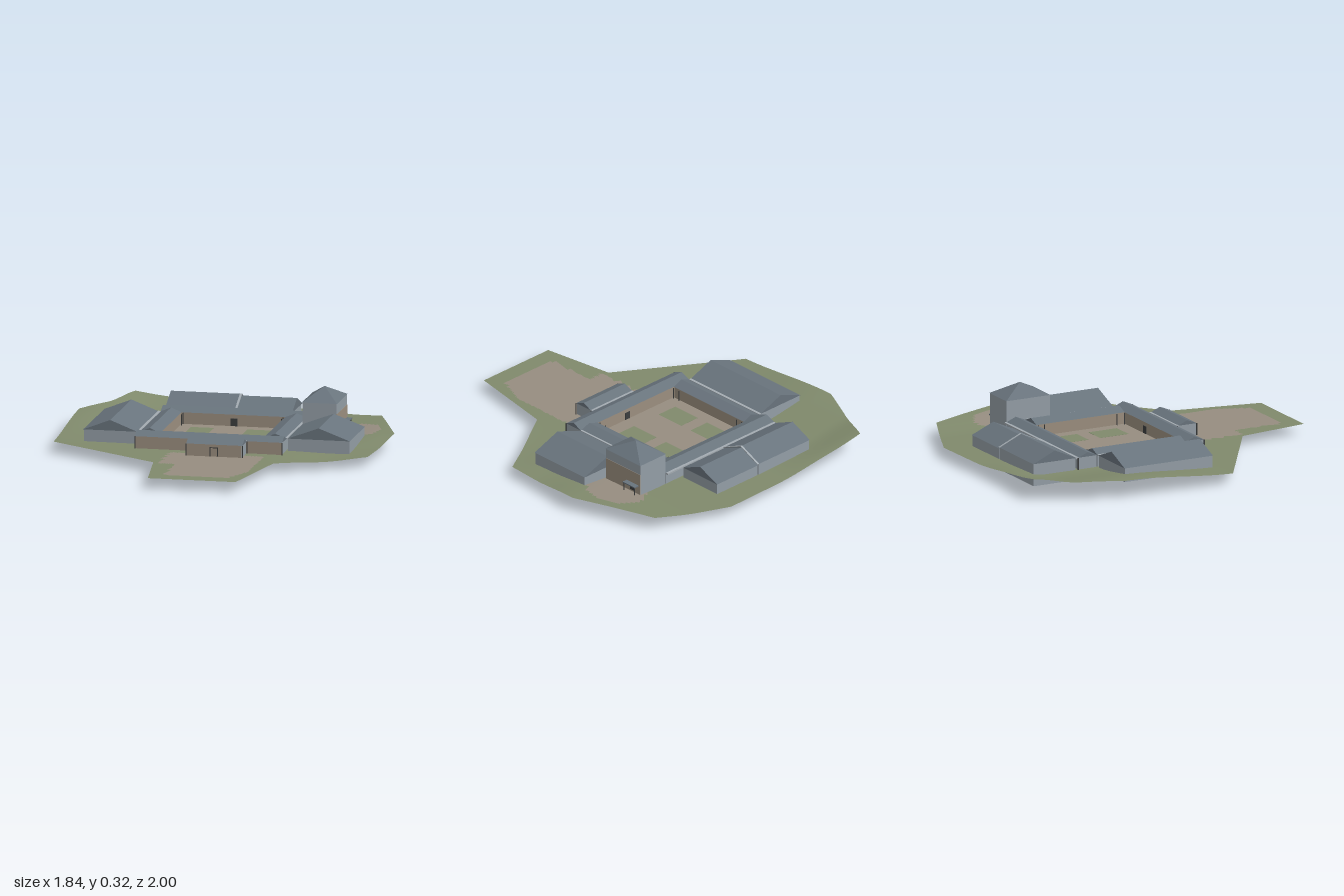
import * as THREE from 'three';

const mat = (name, color, double) => {
  const m = new THREE.MeshStandardMaterial({ color });
  m.name = name;
  if (double) m.side = THREE.DoubleSide;
  return m;
};
const slate = mat('roof slate', 0x69747d);
const wall = mat('grey wall', 0x949ea6);
const clay = mat('beige wall', 0x9c8f7f);
const grass = mat('grass', 0x808a6c, true);
const earth = mat('earth path', 0x968d80, true);
const trim = mat('pale flashing', 0xa3abb1);
const dark = mat('dark timber', 0x3b3d3e);

// Box given by its limits on each axis
function block(parent, name, x0, x1, y0, y1, z0, z1, material) {
  const m = new THREE.Mesh(new THREE.BoxGeometry(x1 - x0, y1 - y0, z1 - z0), material);
  m.position.set((x0 + x1) / 2, (y0 + y1) / 2, (z0 + z1) / 2);
  m.name = name;
  parent.add(m);
}

// Solid gable roof whose ridge runs along 'x' or 'z'
function gable(parent, name, x0, x1, z0, z1, eave, peak, axis) {
  const alongX = axis === 'x';
  const half = (alongX ? z1 - z0 : x1 - x0) / 2;
  const length = alongX ? x1 - x0 : z1 - z0;
  const s = new THREE.Shape([
    new THREE.Vector2(-half, 0), new THREE.Vector2(half, 0), new THREE.Vector2(0, peak - eave)]);
  const geo = new THREE.ExtrudeGeometry(s, { depth: length, bevelEnabled: false });
  geo.translate(0, 0, -length / 2);
  if (alongX) geo.rotateY(Math.PI / 2);
  const m = new THREE.Mesh(geo, slate);
  m.position.set((x0 + x1) / 2, eave, (z0 + z1) / 2);
  m.name = name;
  parent.add(m);
}

// Walls plus gable roof; claySides lists the beige faces
function building(parent, name, x0, x1, z0, z1, y0, eave, peak, axis, claySides = []) {
  const g = new THREE.Group();
  g.name = name;
  const faces = ['+x', '-x', '+y', '-y', '+z', '-z'].map(f => claySides.includes(f) ? clay : wall);
  block(g, name + 'Walls', x0 + 0.003, x1 - 0.003, y0, eave, z0 + 0.003, z1 - 0.003, faces);
  gable(g, name + 'Roof', x0, x1, z0, z1, eave, peak, axis);
  parent.add(g);
}

const step = (a, b, v) => THREE.MathUtils.smoothstep(v, a, b);
const bump = (x, z, cx, cz, r) => Math.exp(-((x - cx) ** 2 + (z - cz) ** 2) / (r * r));

// Ground height: rises at the back left and right, dips at the front right
function height(x, z) {
  return 0.059 + 0.047 * step(0.45, 0.9, -x) * step(-0.2, 0.5, -z)
    + 0.036 * step(0.05, 0.55, -x) * step(0.75, 1.0, -z)
    + 0.024 * step(0.5, 0.85, x) * step(0, 0.35, -z)
    - 0.013 * bump(x, z, 0.66, 0.28, 0.18);
}

const isPath = (x, z) =>
  (z > 0.3 && z < 0.9 && x > -0.23 + 0.1 * step(0.6, 0.3, z) && x < 0.31 - 0.07 * step(0.7, 0.9, z)) ||
  (x > 0.5 && ((x - 0.66) / 0.15) ** 2 + ((z + 0.43) / 0.18) ** 2 < 1);

// Sheet of ground: rings of the outline shrinking to the middle
function terrain() {
  const outline = [[-0.7, -0.98], [0.32, -1], [0.74, -0.82], [0.915, -0.34], [0.875, 0.18], [0.4, 0.47],
    [0.3, 1], [-0.2, 1], [-0.26, 0.58], [-0.92, 0.16], [-0.92, -0.52]];
  const per = 16, rings = 50, n = outline.length * per, cx = 0.04, cz = 0;
  const pos = [], green = [], path = [];
  for (let r = 0; r <= rings; r++) {
    for (let i = 0; i < n; i++) {
      const a = outline[Math.floor(i / per)], b = outline[(Math.floor(i / per) + 1) % outline.length];
      const t = (i % per) / per, k = r / rings;
      const x = cx + (a[0] + (b[0] - a[0]) * t - cx) * k;
      const z = cz + (a[1] + (b[1] - a[1]) * t - cz) * k;
      pos.push(x, height(x, z), z);
    }
  }
  for (let r = 0; r < rings; r++) {
    for (let i = 0; i < n; i++) {
      const j = (i + 1) % n, a = r * n + i, b = r * n + j, c = a + n, d = b + n;
      const list = isPath((pos[a * 3] + pos[d * 3]) / 2, (pos[a * 3 + 2] + pos[d * 3 + 2]) / 2) ? path : green;
      if (r > 0) list.push(a, b, c);
      list.push(b, d, c);
    }
  }
  const geo = new THREE.BufferGeometry();
  geo.setAttribute('position', new THREE.Float32BufferAttribute(pos, 3));
  geo.setIndex([...green, ...path]);
  geo.addGroup(0, green.length, 0);
  geo.addGroup(green.length, path.length, 1);
  geo.computeVertexNormals();
  const m = new THREE.Mesh(geo, [grass, earth]);
  m.name = 'terrain';
  return m;
}

export function createModel() {
  const g = new THREE.Group();
  g.name = 'courtyardCompound';
  g.add(terrain());

  // Courtyard paving with four lawns
  block(g, 'courtyard', -0.32, 0.27, 0.053, 0.0625, -0.44, 0.12, earth);
  for (const [x0, x1] of [[-0.25, -0.12], [0.07, 0.205]]) {
    for (const [z0, z1] of [[-0.365, -0.22], [-0.145, 0.035]]) {
      block(g, 'lawn', x0, x1, 0.052, 0.0635, z0, z1, grass);
    }
  }

  // Covered walks around the courtyard
  const F = 0.048, E = 0.128, P = 0.153;
  building(g, 'westWalk', -0.44, -0.32, -0.44, 0.12, F, E, P, 'z', ['+x']);
  building(g, 'eastWalk', 0.27, 0.4, -0.44, 0.12, F, E, P, 'z', ['-x']);
  building(g, 'southWalk', -0.44, 0.4, 0.12, 0.238, F, E, P, 'x', ['+z', '-z']);
  building(g, 'northWalk', -0.44, 0.4, -0.56, -0.44, 0, E, P, 'x', ['+z']);
  block(g, 'northWalkBasement', -0.44, 0.4, 0, 0.052, -0.56, -0.438, wall);
  building(g, 'entranceHall', -0.12, 0.2, 0.245, 0.365, F, E, P, 'x', ['+z']);
  block(g, 'entranceLink', -0.11, 0.19, F, 0.122, 0.23, 0.25, clay);

  // Wings
  building(g, 'westWing', -0.76, -0.452, -0.44, 0.12, F, E, 0.188, 'z');
  building(g, 'eastWing', 0.405, 0.76, -0.28, 0.12, 0.043, E, 0.194, 'z');
  building(g, 'northWingHigh', -0.44, -0.04, -0.845, -0.572, 0, E, 0.19, 'x');
  building(g, 'northWingLow', -0.04, 0.28, -0.845, -0.572, 0, E - 0.006, 0.181, 'x');

  // Pale flashing strips between roofs
  block(g, 'flashing', -0.454, -0.438, 0.124, 0.131, -0.44, 0.12, trim);
  block(g, 'flashing', -0.44, 0.4, 0.121, 0.13, -0.574, -0.558, trim);
  block(g, 'flashing', 0.388, 0.405, 0.124, 0.131, -0.44, 0.12, trim);
  block(g, 'flashing', -0.12, 0.2, 0.124, 0.131, 0.235, 0.248, trim);
  for (const side of [-1, 1]) {
    const strip = new THREE.Mesh(new THREE.BoxGeometry(0.012, 0.004, 0.15), trim);
    strip.position.set(-0.04, 0.159, -0.7085 + side * 0.068);
    strip.rotation.x = side * Math.atan2(0.062, 0.1365);
    strip.name = 'roofJoint';
    g.add(strip);
  }

  // Tower with a hipped roof
  block(g, 'towerWalls', 0.403, 0.597, F, 0.25, -0.557, -0.283, wall);
  block(g, 'towerLowerFacing', 0.594, 0.599, F, 0.19, -0.557, -0.283, clay);
  let cap = new THREE.ConeGeometry(Math.SQRT1_2, 0.07, 4).rotateY(Math.PI / 4).scale(0.2, 1, 0.28).toNonIndexed();
  cap.computeVertexNormals();
  const roof = new THREE.Mesh(cap, slate);
  roof.position.set(0.5, 0.285, -0.42);
  roof.name = 'towerRoof';
  g.add(roof);

  // Tower porch
  block(g, 'porchRoof', 0.597, 0.63, 0.113, 0.12, -0.545, -0.45, slate);
  block(g, 'porchDoor', 0.597, 0.602, 0.075, 0.11, -0.515, -0.48, dark);
  for (const z of [-0.54, -0.458]) block(g, 'porchPost', 0.623, 0.627, 0.06, 0.115, z, z + 0.004, dark);

  // Entrance door: dark frame with a beige leaf, and a door on the courtyard side
  block(g, 'doorFrame', 0.015, 0.062, 0.06, 0.112, 0.36, 0.364, dark);
  block(g, 'doorLeaf', 0.02, 0.057, 0.06, 0.107, 0.361, 0.3655, clay);
  block(g, 'courtDoor', 0.02, 0.057, 0.06, 0.105, 0.119, 0.125, dark);
  block(g, 'courtDoor', -0.04, -0.003, 0.06, 0.105, -0.445, -0.439, dark);

  // Downpipes at the outer corners
  for (const [x, z] of [[-0.442, 0.236], [0.398, 0.236], [-0.123, 0.362], [0.199, 0.362],
    [-0.123, 0.24], [0.199, 0.24], [-0.445, -0.565]]) {
    block(g, 'downpipe', x, x + 0.005, 0.055, 0.128, z, z + 0.005, dark);
  }

  // Slim posts in the courtyard corners
  for (const x of [-0.312, 0.258]) {
    for (const z of [-0.435, -0.395, 0.065, 0.11]) {
      block(g, 'courtPost', x, x + 0.004, 0.06, 0.127, z, z + 0.004, dark);
    }
  }
  return g;
}
